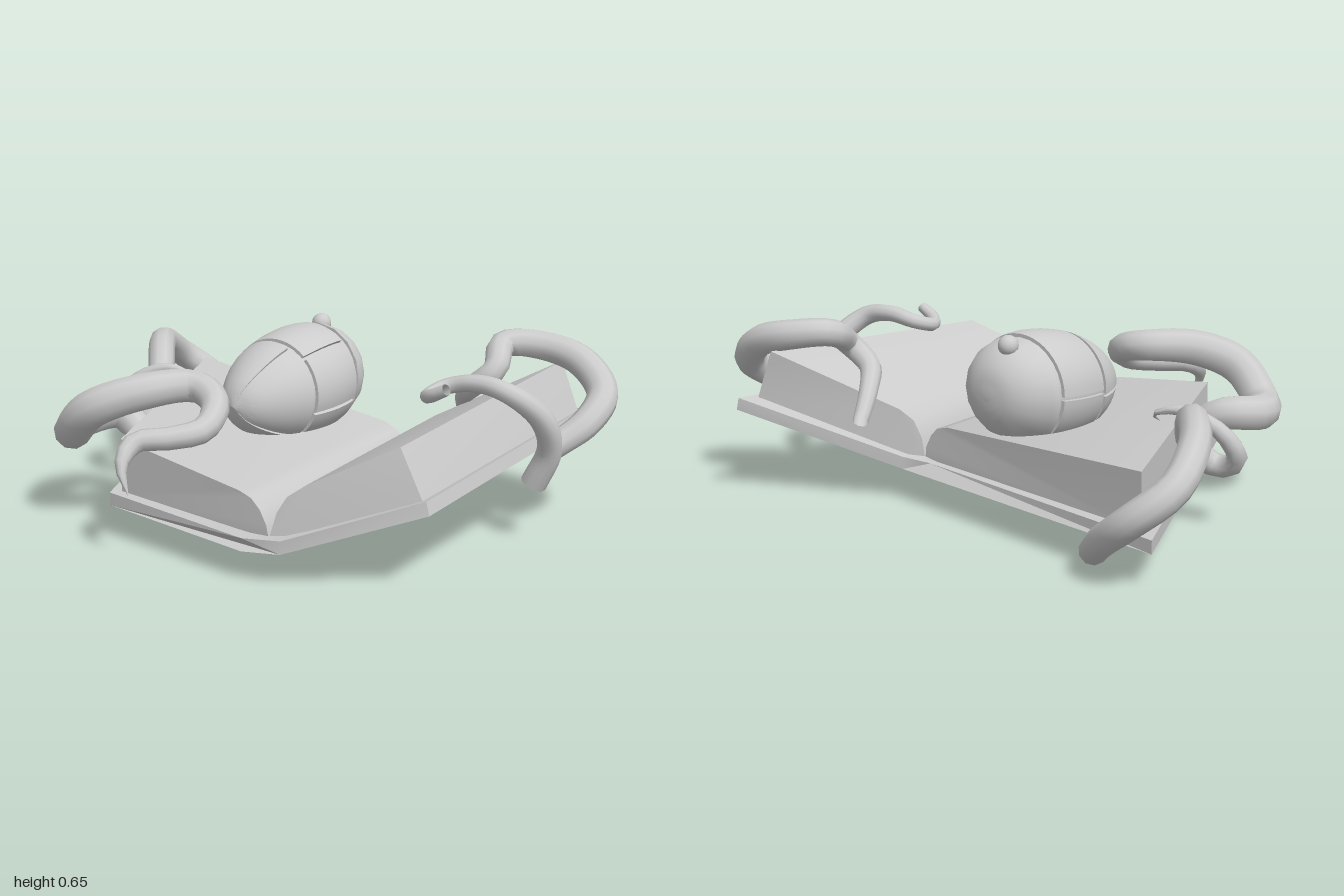
import * as THREE from 'three';
import { toCreasedNormals } from 'three/addons/utils/BufferGeometryUtils.js';
import { ParametricGeometry } from 'three/addons/geometries/ParametricGeometry.js';

const V = (p) => new THREE.Vector3(...p);
const material = new THREE.MeshStandardMaterial({ color: 0xcccccc, side: THREE.DoubleSide });

function add(group, name, geometry) {
  const mesh = new THREE.Mesh(geometry, material);
  mesh.name = name;
  group.add(mesh);
  return mesh;
}

// Solid between a front and a back section (same corner count, anticlockwise from the front)
function loft(front, back) {
  const pos = [];
  const n = front.length;
  const tri = (a, b, c) => pos.push(...a, ...b, ...c);
  for (let i = 0; i < n; i++) {
    const j = (i + 1) % n;
    tri(front[i], back[i], back[j]);
    tri(front[i], back[j], front[j]);
  }
  [front, back].forEach((ring, k) => {
    const faces = THREE.ShapeUtils.triangulateShape(ring.map((p) => new THREE.Vector2(p[0], p[1])), []);
    for (const [a, b, c] of faces) {
      if (k) tri(ring[a], ring[c], ring[b]);
      else tri(ring[a], ring[b], ring[c]);
    }
  });
  const g = new THREE.BufferGeometry();
  g.setAttribute('position', new THREE.Float32BufferAttribute(pos, 3));
  return toCreasedNormals(g, 0.6);
}

// Tube whose radius follows a list spread along its length, flat at the start and pointed at the end
function tentacle(points, radii, segments = 44, sides = 10) {
  const curve = new THREE.CatmullRomCurve3(points.map(V), false, 'centripetal');
  const g = new THREE.TubeGeometry(curve, segments, 1, sides);
  const pos = g.attributes.position;
  const dir = g.attributes.normal;
  const d = new THREE.Vector3();
  for (let i = 0; i <= segments; i++) {
    const centre = curve.getPointAt(i <= 1 ? 0 : i / segments);
    const t = (i / segments) * (radii.length - 1);
    const k = Math.min(Math.floor(t), radii.length - 2);
    const r = i === 0 ? 0 : THREE.MathUtils.lerp(radii[k], radii[k + 1], t - k);
    for (let j = 0; j <= sides; j++) {
      const q = i * (sides + 1) + j;
      d.fromBufferAttribute(dir, q).multiplyScalar(r).add(centre);
      pos.setXYZ(q, d.x, d.y, d.z);
    }
  }
  return toCreasedNormals(g, 0.9);
}

// Egg outline: [z, radius] from the blunt back end to the front tip
const outline = new THREE.CatmullRomCurve3(
  [[-0.43, 0], [-0.415, 0.09], [-0.36, 0.16], [-0.27, 0.198], [-0.15, 0.208], [0, 0.182], [0.1, 0.132], [0.17, 0.07], [0.2, 0]]
    .map(([z, r]) => new THREE.Vector3(r, 0, z)));

// Point on the egg; angle 0 is up, positive toward +x
function eggPoint(t, angle, scale, target) {
  const p = outline.getPoint(THREE.MathUtils.clamp(t, 0, 1));
  const r = Math.max(p.x, 0) * scale;
  target.set(-0.06 + r * Math.sin(angle), 0.425 - 0.07 * p.z + r * 0.96 * Math.cos(angle), p.z);
}

// Shell plate with its rim turned inward, covering part of the egg
function plate(t0, t1, a0, a1, bow = 0) {
  const n = 12;
  const m = 18;
  const inner = (s, count) => THREE.MathUtils.clamp((s * count - 1) / (count - 2), 0, 1);
  const g = new ParametricGeometry((u, v, target) => {
    const rim = u < 0.001 || u > 0.999 || v < 0.001 || v > 0.999;
    const angle = THREE.MathUtils.lerp(a0, a1, inner(v, m));
    const t = THREE.MathUtils.lerp(t0, t1, inner(u, n));
    const bend = t > 0.05 && t < 0.95 ? bow * (1 - Math.cos(angle)) : 0;
    eggPoint(t + bend, angle, rim ? 0.93 : 1, target);
  }, n, m);
  return toCreasedNormals(g, 0.7);
}

export function createModel() {
  const model = new THREE.Group();

  // Book: one bent cover and two page blocks
  const book = new THREE.Group();
  book.name = 'book';
  model.add(book);
  const coverSection = (bottom) => {
    const top = bottom.map(([x, y, z], i) => [x - (i === 3 ? 0.012 : 0), y + 0.045, z]);
    return [...bottom, ...top.reverse()];
  };
  add(book, 'cover', loft(
    coverSection([[-0.27, 0.115, 0.61], [0.36, 0.1, 0.665], [0.5, 0.112, 0.64], [0.91, 0.265, 0.41]]),
    coverSection([[-0.89, 0.115, -0.58], [0.24, 0.105, -0.4], [0.35, 0.115, -0.43], [0.825, 0.32, -0.78]])));

  add(book, 'leftPages', loft(
    [[-0.25, 0.15, 0.57], [0.43, 0.14, 0.61], [0.42, 0.185, 0.61], [0.39, 0.23, 0.605],
      [0.35, 0.262, 0.602], [0.3, 0.277, 0.6], [-0.25, 0.345, 0.57]],
    [[-0.8, 0.15, -0.52], [0.305, 0.14, -0.36], [0.3, 0.19, -0.36], [0.28, 0.235, -0.355],
      [0.25, 0.265, -0.355], [0.19, 0.282, -0.365], [-0.8, 0.348, -0.52]]));

  add(book, 'rightPages', loft(
    [[0.43, 0.14, 0.61], [0.53, 0.155, 0.58], [0.875, 0.285, 0.385], [0.79, 0.465, 0.4],
      [0.53, 0.325, 0.55], [0.48, 0.285, 0.58], [0.45, 0.23, 0.595]],
    [[0.305, 0.14, -0.36], [0.38, 0.16, -0.41], [0.805, 0.345, -0.7], [0.735, 0.53, -0.69],
      [0.38, 0.325, -0.41], [0.34, 0.285, -0.38], [0.315, 0.22, -0.365]]));

  // Egg-shaped body: smooth core under separate shell plates
  const body = new THREE.Group();
  body.name = 'body';
  model.add(body);
  add(body, 'core', new ParametricGeometry(
    (u, v, target) => eggPoint(u, v * Math.PI * 2, 0.94, target), 24, 28));
  add(body, 'backCap', plate(0, 0.35, -Math.PI, Math.PI, 0.02));
  const gap = 0.035;
  [-1.6, 0.75, 1.9, 3.3].forEach((a, i, list) => {
    const next = i < 3 ? list[i + 1] : list[0] + Math.PI * 2;
    add(body, 'shellPlate', plate(0.39, 0.59, a + gap, next - gap));
  });
  [0.4, 2.5, 4.6].forEach((a) => {
    add(body, 'frontPlate', plate(0.605, 1, a + gap, a + 2.1 - gap));
  });
  add(body, 'knob', new THREE.SphereGeometry(0.036, 14, 10)).position.set(-0.09, 0.615, -0.35);

  // Tentacles curling around the book
  const arms = {
    backRightTentacle: [
      [[-0.6, 0.045, -0.51], [-0.72, 0.13, -0.61], [-0.86, 0.23, -0.65], [-0.955, 0.33, -0.56], [-0.91, 0.42, -0.4],
        [-0.78, 0.45, -0.23], [-0.66, 0.39, -0.09], [-0.6, 0.28, 0.01], [-0.66, 0.21, 0.07], [-0.75, 0.25, 0.06],
        [-0.73, 0.35, 0], [-0.61, 0.42, -0.06], [-0.51, 0.4, -0.09], [-0.49, 0.36, -0.03]],
      [0.048, 0.052, 0.055, 0.055, 0.052, 0.05, 0.045, 0.035, 0.022, 0.001]],
    frontRightTentacle: [
      [[-0.4, 0.26, 0.28], [-0.53, 0.33, 0.275], [-0.59, 0.32, 0.4], [-0.52, 0.32, 0.53], [-0.38, 0.43, 0.575],
        [-0.25, 0.49, 0.49], [-0.12, 0.505, 0.335], [0, 0.47, 0.365], [0.045, 0.41, 0.48], [-0.02, 0.39, 0.58],
        [-0.1, 0.38, 0.66], [-0.09, 0.32, 0.74], [-0.04, 0.23, 0.76]],
      [0.05, 0.06, 0.066, 0.068, 0.068, 0.064, 0.056, 0.047, 0.04, 0.035, 0.001]],
    backLeftTentacle: [
      [[0.88, 0.3, -0.38], [0.95, 0.38, -0.5], [0.945, 0.46, -0.61], [0.83, 0.55, -0.655], [0.68, 0.59, -0.63],
        [0.58, 0.595, -0.54], [0.62, 0.53, -0.42], [0.54, 0.46, -0.4], [0.46, 0.4, -0.48], [0.4, 0.31, -0.58]],
      [0.045, 0.052, 0.056, 0.056, 0.054, 0.05, 0.045, 0.04, 0.034, 0.028]],
    middleLeftTentacle: [
      [[0.88, 0.2, -0.27], [0.94, 0.33, -0.265], [0.945, 0.45, -0.2], [0.87, 0.55, -0.1], [0.76, 0.57, -0.08],
        [0.66, 0.55, -0.055], [0.635, 0.53, 0.02], [0.68, 0.545, 0.065], [0.74, 0.575, 0.07]],
      [0.046, 0.044, 0.042, 0.038, 0.033, 0.028, 0.025, 0.02]],
  };
  for (const [name, [points, radii]] of Object.entries(arms)) add(model, name, tentacle(points, radii));

  return model;
}
